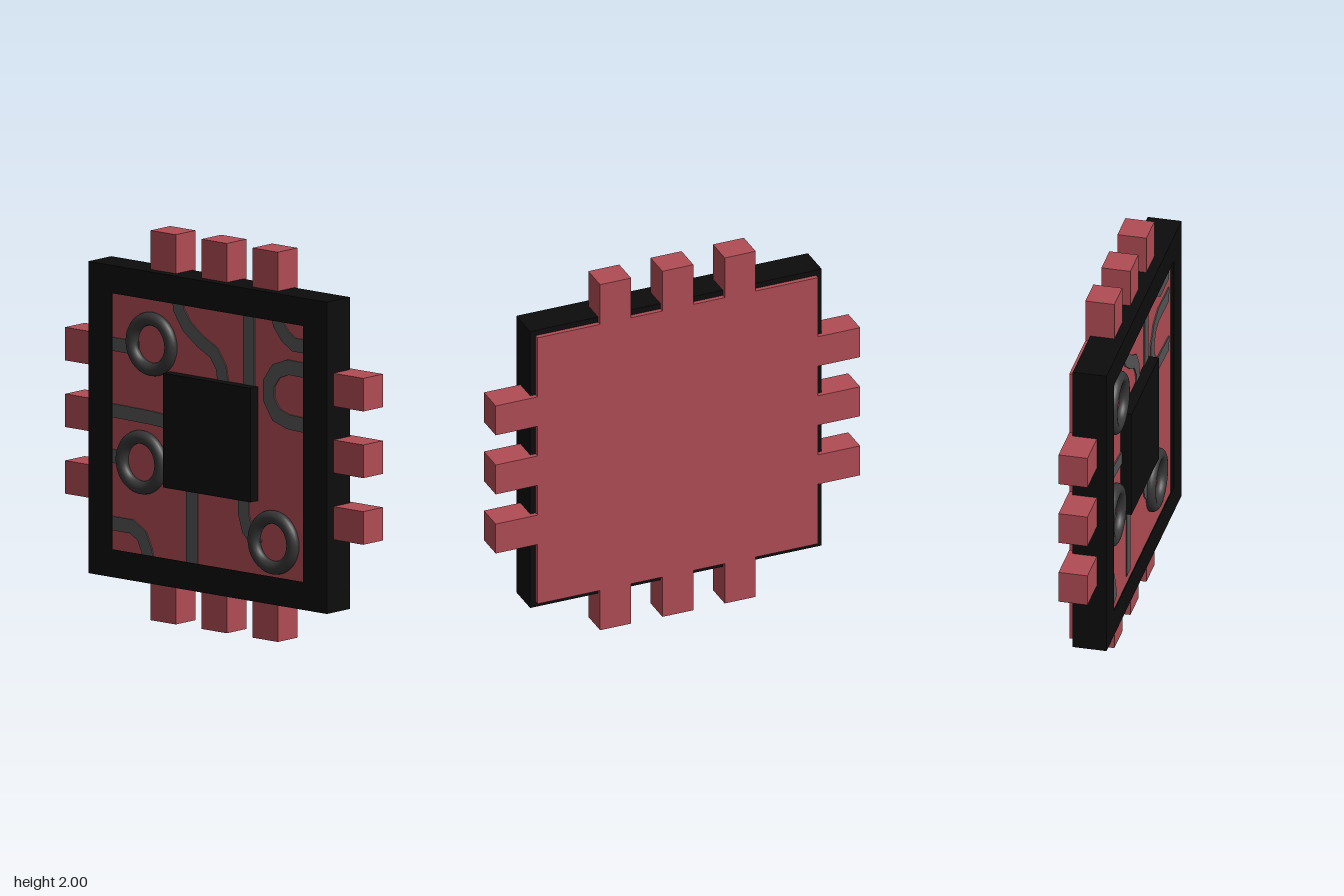
import * as THREE from 'three';

const mat = (color, extra = {}) => new THREE.MeshStandardMaterial({ color, ...extra });

export function createModel() {
  const group = new THREE.Group();
  const red = mat(0xb04c54), black = mat(0x0c0c0c), grey = mat(0x555555), dark = mat(0x363636);
  const BACK = -0.105, FLOOR = 0.045, FRONT = 0.095;

  const add = (name, geometry, material) => {
    const mesh = new THREE.Mesh(geometry, material);
    mesh.name = name;
    group.add(mesh);
    return mesh;
  };

  // Box given by its extents
  const block = (name, material, x0, x1, y0, y1, z0, z1) =>
    add(name, new THREE.BoxGeometry(x1 - x0, y1 - y0, z1 - z0), material)
      .position.set((x0 + x1) / 2, (y0 + y1) / 2, (z0 + z1) / 2);

  // Rectangular ring between z0 and z1
  const rect = (Type, hx, hy) => new Type().setFromPoints([
    [-hx, -hy], [hx, -hy], [hx, hy], [-hx, hy], [-hx, -hy],
  ].map(([x, y]) => new THREE.Vector2(x, y + 1)));
  const ring = (name, hx, hy, ix, iy, z0, z1) => {
    const shape = rect(THREE.Shape, hx, hy);
    shape.holes.push(rect(THREE.Path, ix, iy));
    const geo = new THREE.ExtrudeGeometry(shape, { depth: z1 - z0, bevelEnabled: false });
    add(name, geo.translate(0, 0, z0), black);
  };

  // Board, with a thin bezel and its outer rim
  block('board', red, -0.77, 0.77, 0.23, 1.77, BACK, FLOOR);
  ring('bezel', 0.8, 0.8, 0.64, 0.657, FRONT - 0.002, FRONT);
  ring('rim', 0.8, 0.8, 0.77, 0.77, -0.08, FRONT - 0.002);
  block('processor', black, -0.293, 0.293, 0.707, 1.293, FLOOR, 0.102);

  // Three contact pins along every side
  for (const p of [-0.342, 0, 0.342]) {
    for (const s of [-1, 1]) {
      const a = s < 0 ? -1 : 0.75, b = s < 0 ? -0.75 : 1;
      block('sidePin', red, a, b, p + 0.916, p + 1.086, BACK, FLOOR);
      block('endPin', red, p - 0.085, p + 0.085, a + 1, b + 1, BACK, FLOOR);
    }
  }

  // Flat ribbon of constant width along a polyline, with mitred corners
  const ribbon = (points, width = 0.076) => {
    const pts = points.map(([x, y]) => new THREE.Vector2(x, y));
    const left = [], right = [];
    pts.forEach((p, i) => {
      const a = pts[Math.max(i - 1, 0)], b = pts[Math.min(i + 1, pts.length - 1)];
      const d0 = (i ? p.clone().sub(a) : b.clone().sub(p)).normalize();
      const d1 = (i < pts.length - 1 ? b.clone().sub(p) : d0.clone()).normalize();
      const t = d0.clone().add(d1).normalize();
      const n = new THREE.Vector2(-t.y, t.x).multiplyScalar(width / 2 / t.dot(d0));
      left.push(p.clone().add(n));
      right.unshift(p.clone().sub(n));
    });
    const geo = new THREE.ExtrudeGeometry(new THREE.Shape([...left, ...right]),
      { depth: 0.008, bevelEnabled: false });
    add('trace', geo.translate(0, 0, FLOOR - 0.002), grey);
  };

  // Circuit traces
  ribbon([[-0.72, 1.385], [-0.5, 1.385]], 0.07);
  ribbon([[-0.72, 0.81], [-0.58, 0.81]], 0.07);
  ribbon([[-0.245, 1.71], [-0.235, 1.62], [-0.18, 1.54], [-0.09, 1.475], [0, 1.43], [0.05, 1.36], [0.065, 1.27]], 0.07);
  ribbon([[0.236, 1.71], [0.236, 1.27]]);
  ribbon([[0.405, 1.71], [0.435, 1.63], [0.48, 1.575], [0.54, 1.54], [0.72, 1.54]], 0.07);
  ribbon([[0.72, 1.415], [0.5, 1.42], [0.42, 1.39], [0.37, 1.32], [0.37, 1.24], [0.42, 1.165], [0.5, 1.14], [0.72, 1.13]]);
  ribbon([[-0.72, 1.045], [-0.42, 1.04], [-0.27, 1.03]], 0.07);
  ribbon([[-0.145, 0.28], [-0.145, 0.73]]);
  ribbon([[0.2, 0.73], [0.2, 0.63], [0.225, 0.55], [0.3, 0.48]], 0.07);
  ribbon([[-0.72, 0.465], [-0.55, 0.465], [-0.48, 0.425], [-0.45, 0.36], [-0.43, 0.28]], 0.072);

  // Ring-shaped coils
  for (const [x, y] of [[-0.41, 1.42], [-0.477, 0.805], [0.408, 0.51]]) {
    add('coil', new THREE.TorusGeometry(0.13, 0.034, 16, 40), dark).position.set(x, y, 0.055);
  }

  return group;
}
